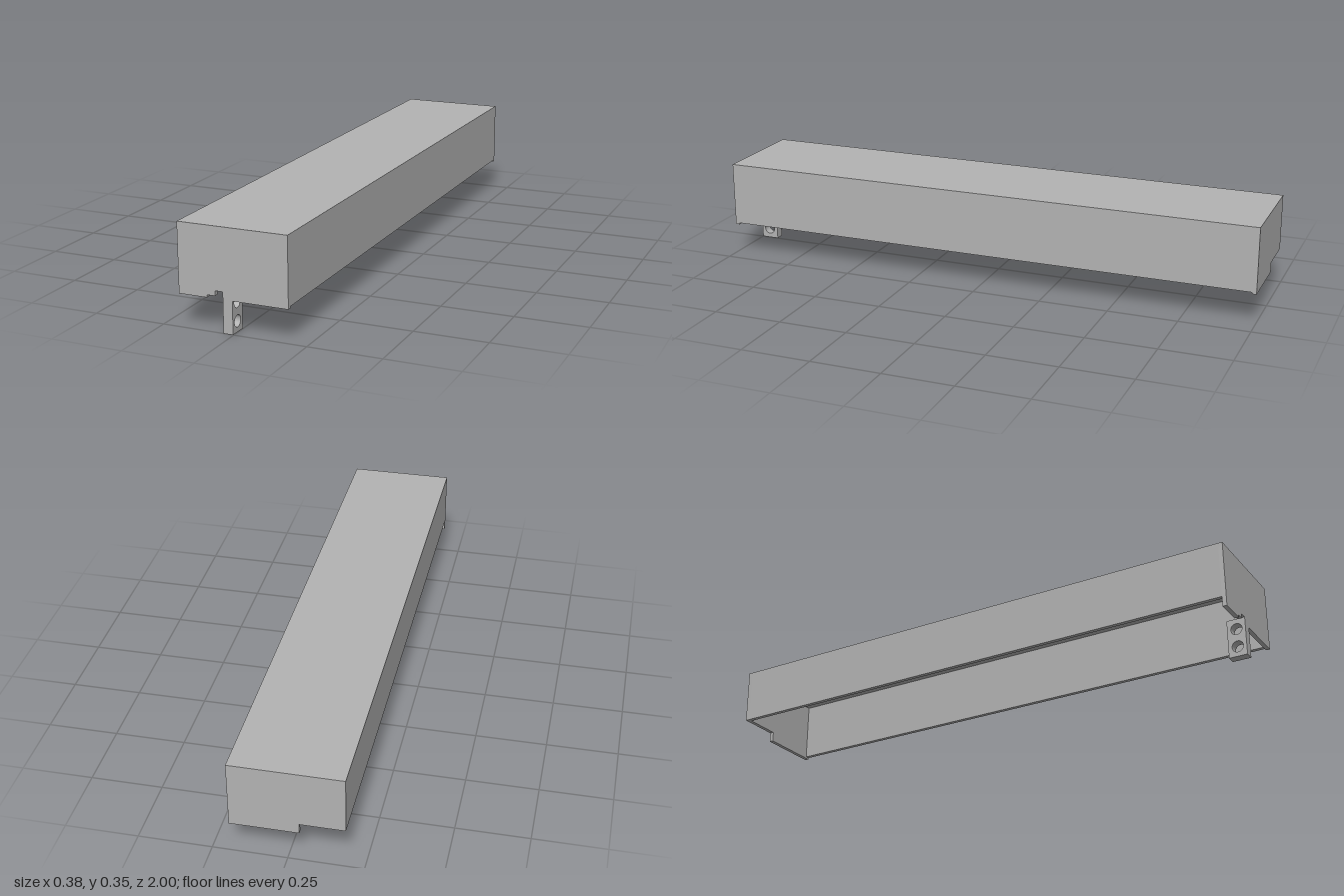
import * as THREE from 'three';

const W = 0.19, TOP = 0.347, T = 0.015;
const CEIL = TOP - T;

// Flat plate cut from an outline in x/y, running from z to z + depth
function plate(points, depth, z, material, name) {
  const shape = new THREE.Shape(points.map(([x, y]) => new THREE.Vector2(x, y)));
  const geometry = new THREE.ExtrudeGeometry(shape, { depth, bevelEnabled: false });
  geometry.translate(0, 0, z);
  const mesh = new THREE.Mesh(geometry, material);
  mesh.name = name;
  return mesh;
}

// Box given by its limits
function block(x0, x1, y0, y1, z0, z1, material, name) {
  const geometry = new THREE.BoxGeometry(x1 - x0, y1 - y0, z1 - z0);
  geometry.translate((x0 + x1) / 2, (y0 + y1) / 2, (z0 + z1) / 2);
  const mesh = new THREE.Mesh(geometry, material);
  mesh.name = name;
  return mesh;
}

export function createModel() {
  const group = new THREE.Group();
  group.name = 'openCover';
  const grey = new THREE.MeshStandardMaterial({ color: 0xb2b2b2 });
  grey.name = 'plain grey';

  // Roof and long side walls; the right wall is shorter
  group.add(
    block(-W, W, CEIL, TOP, -1, 1, grey, 'roof'),
    block(W - T, W, 0.117, CEIL, -1 + T, 1 - T, grey, 'leftWall'),
    block(-W, -W + T, 0.147, CEIL, -1 + T, 1 - T, grey, 'rightWall'),
  );

  // Front wall with a stepped notch beside the tab
  group.add(plate([
    [-W, 0.111], [-0.09, 0.111], [-0.09, 0.12], [-0.062, 0.12], [-0.062, 0.137],
    [-0.002, 0.137], [-0.002, 0.111], [W, 0.111], [W, CEIL], [-W, CEIL],
  ], T, 1 - T, grey, 'frontWall'));

  // Back wall, raised on one side
  group.add(plate([
    [-W, 0.147], [-0.04, 0.147], [-0.04, 0.111], [W, 0.111], [W, CEIL], [-W, CEIL],
  ], T, -1, grey, 'backWall'));

  // Mounting tab, drawn in z/y with two round holes, then turned to face sideways
  const tab = new THREE.Shape([[-1, 0], [-0.935, 0], [-0.935, 0.137], [-1, 0.137]]
    .map(([z, y]) => new THREE.Vector2(z, y)));
  for (const y of [0.036, 0.1]) {
    const hole = new THREE.Path();
    hole.absarc(-0.968, y, 0.02, 0, Math.PI * 2, true);
    tab.holes.push(hole);
  }
  const tabGeometry = new THREE.ExtrudeGeometry(tab, { depth: 0.033, bevelEnabled: false, curveSegments: 20 });
  tabGeometry.rotateY(Math.PI / 2);
  tabGeometry.translate(-0.035, 0, 0);
  const tabMesh = new THREE.Mesh(tabGeometry, grey);
  tabMesh.name = 'mountingTab';
  group.add(tabMesh);

  return group;
}
